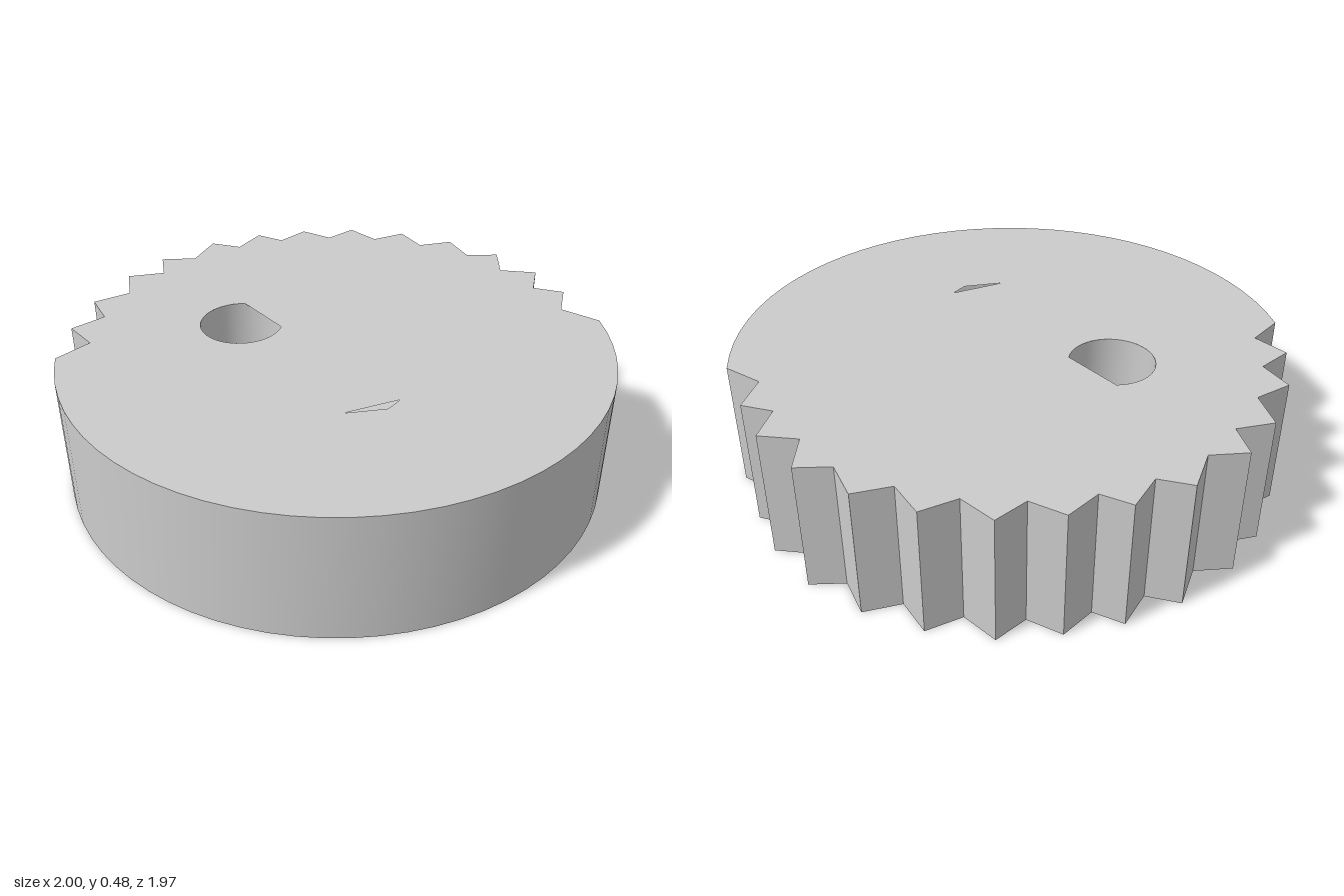
import * as THREE from 'three';
import { toCreasedNormals } from 'three/addons/utils/BufferGeometryUtils.js';

const HEIGHT = 0.48;
const material = new THREE.MeshStandardMaterial({ color: 0xcccccc, side: THREE.DoubleSide });

// Points [x, z] along a circular arc
function arc(cx, cz, r, start, end, segments) {
  return Array.from({ length: segments + 1 }, (_, i) => {
    const a = start + (end - start) * i / segments;
    return [cx + r * Math.cos(a), cz + r * Math.sin(a)];
  });
}

// Vertical wall along a closed loop of [x, z] points
function wall(loop) {
  const positions = [];
  loop.forEach(([ax, az], i) => {
    const [bx, bz] = loop[(i + 1) % loop.length];
    positions.push(ax, 0, az, ax, HEIGHT, az, bx, 0, bz);
    positions.push(bx, 0, bz, ax, HEIGHT, az, bx, HEIGHT, bz);
  });
  const geometry = new THREE.BufferGeometry();
  geometry.setAttribute('position', new THREE.Float32BufferAttribute(positions, 3));
  return toCreasedNormals(geometry, 0.3);
}

// Flat face at height y, facing up (dir 1) or down (dir -1), with openings
function cap(outline, openings, y, dir) {
  const toPoints = (loop) => loop.map(([x, z]) => new THREE.Vector2(x, -dir * z));
  const shape = new THREE.Shape(toPoints(outline));
  openings.forEach((loop) => shape.holes.push(new THREE.Path(toPoints(loop))));
  const geometry = new THREE.ShapeGeometry(shape);
  geometry.rotateX(-dir * Math.PI / 2);
  geometry.translate(0, y, 0);
  return geometry;
}

export function createModel() {
  const group = new THREE.Group();
  group.name = 'partlyToothedWheel';
  const add = (name, geometry) => {
    const mesh = new THREE.Mesh(geometry, material);
    mesh.name = name;
    group.add(mesh);
  };

  // Teeth around the back half, from the -x side to the +x side
  const teeth = [
    [-0.88, -0.16], [-0.95, -0.28], [-0.83, -0.35], [-0.87, -0.48],
    [-0.735, -0.53], [-0.735, -0.68], [-0.595, -0.685], [-0.595, -0.815],
    [-0.46, -0.80], [-0.375, -0.935], [-0.265, -0.88], [-0.17, -0.985],
    [-0.08, -0.915], [0.03, -0.99], [0.13, -0.905], [0.24, -0.97],
    [0.32, -0.855], [0.45, -0.89], [0.50, -0.76], [0.635, -0.77],
    [0.67, -0.63], [0.795, -0.61], [0.765, -0.465], [0.90, -0.42],
    [0.845, -0.29], [0.95, -0.235], [0.89, -0.10],
  ];
  // Smooth front half, then the teeth
  const outline = [...arc(0, -0.02, 1, 0.03, Math.PI + 0.05, 36), ...teeth];

  // Round bore, partly covered at the top and mostly covered at the bottom
  const bore = [-0.325, -0.212, 0.153];
  const topOpening = arc(...bore, 0.38, 4.9, 32);
  const bottomOpening = arc(...bore, 1.6, 3.55, 16);

  // Thin slits in the two faces
  const topSlit = [[-0.06, 0.45], [0.14, 0.405], [0.09, 0.45]];
  const bottomSlit = [[-0.2, 0.42], [-0.37, 0.40], [-0.29, 0.42]];

  add('rim', wall(outline));
  add('boreWall', wall(arc(...bore, 0, 2 * Math.PI, 40).slice(1).reverse()));
  add('topFace', cap(outline, [topOpening, topSlit], HEIGHT, 1));
  add('bottomFace', cap(outline, [bottomOpening, bottomSlit], 0, -1));
  return group;
}
